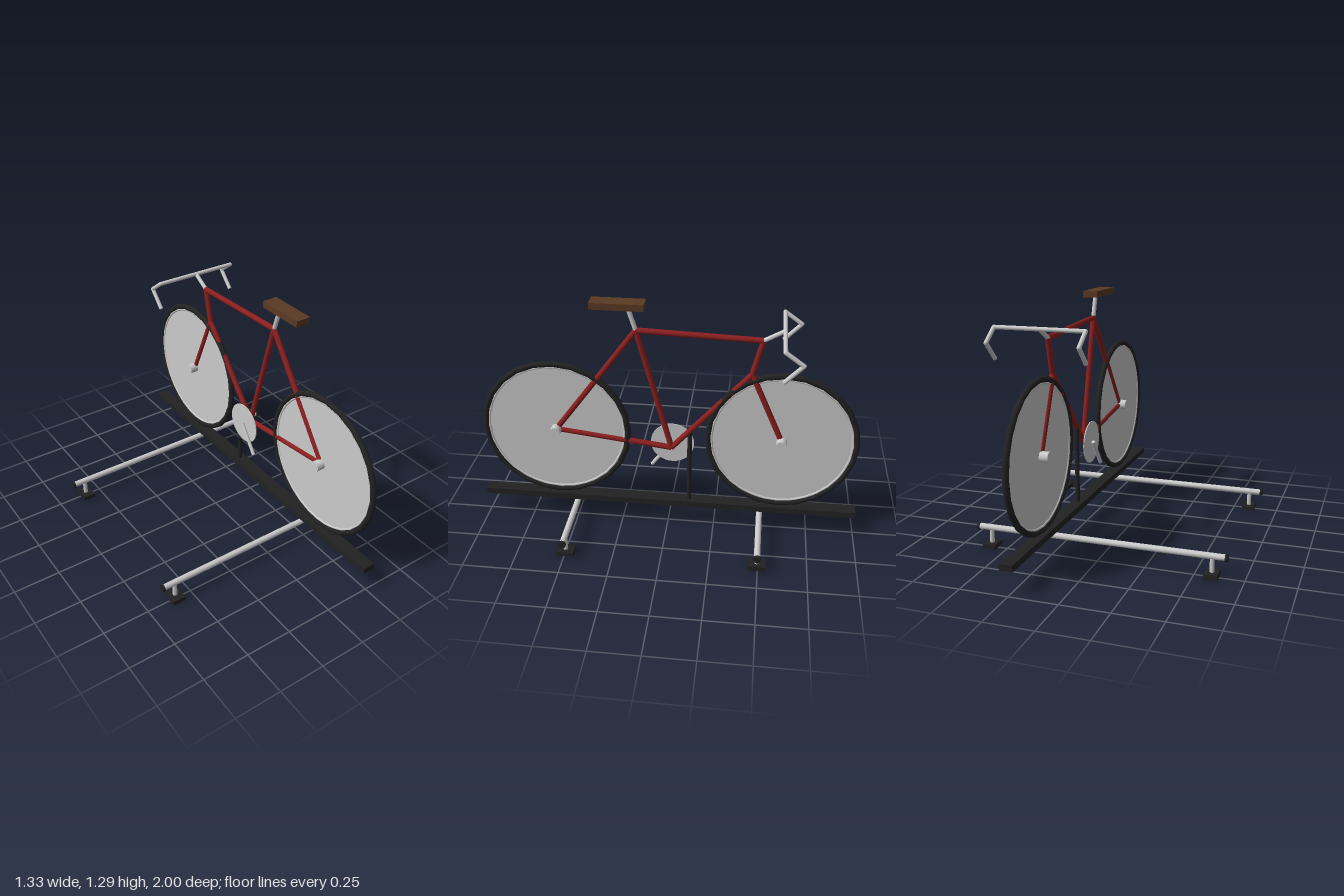
import * as THREE from 'three';

const mat = (color) => new THREE.MeshStandardMaterial({ color });
const steel = mat(0xcccccc);
const black = mat(0x222222);
const red = mat(0x8b1f1f);
const brown = mat(0x5a3a24);

const BX = 0.256; // centre plane of the bicycle and its rail
const v = (x, y, z) => new THREE.Vector3(x, y, z);

export function createModel() {
  const model = new THREE.Group();
  model.name = 'bicycleOnStand';

  const add = (name, geometry, material, parent = model) => {
    const mesh = new THREE.Mesh(geometry, material);
    mesh.name = name;
    parent.add(mesh);
    return mesh;
  };
  const box = (name, w, h, d, pos, material, parent) =>
    add(name, new THREE.BoxGeometry(w, h, d), material, parent).position.copy(pos);

  // Straight round bar between two points
  const bar = (name, a, b, r, material, parent, sides = 12) => {
    const dir = b.clone().sub(a);
    const mesh = add(name, new THREE.CylinderGeometry(r, r, dir.length(), sides), material, parent);
    mesh.position.copy(a).add(b).multiplyScalar(0.5);
    mesh.quaternion.setFromUnitVectors(v(0, 1, 0), dir.normalize());
    return mesh;
  };
  const group = (name) => {
    const g = new THREE.Group();
    g.name = name;
    model.add(g);
    return g;
  };

  // Stand: long rail, two cross bars with capped ends and feet, and a prop
  const stand = group('stand');
  box('rail', 0.068, 0.034, 2, v(BX, 0.14, 0), black, stand);
  for (const z of [-0.495, 0.495]) {
    bar('crossBar', v(-0.655, 0.106, z), v(0.655, 0.106, z), 0.016, steel, stand, 16);
    for (const s of [-1, 1]) {
      bar('endCap', v(s * 0.652, 0.106, z), v(s * 0.665, 0.106, z), 0.02, black, stand, 16);
      bar('footPost', v(s * 0.588, 0.02, z), v(s * 0.588, 0.1, z), 0.012, steel, stand);
      box('foot', 0.068, 0.024, 0.09, v(s * 0.588, 0.012, z), black, stand);
    }
  }
  bar('frameProp', v(BX, 0.15, -0.115), v(BX, 0.577, -0.115), 0.012, black, stand);

  // Wheels: tyre, rim, thin spoke disc and hub
  for (const [name, z] of [['rearWheel', 0.588], ['frontWheel', -0.588]]) {
    const wheel = group(name);
    wheel.position.set(BX, 0.55, z);
    wheel.rotation.y = Math.PI / 2;
    add('tyre', new THREE.TorusGeometry(0.38, 0.016, 10, 24), black, wheel);
    add('rim', new THREE.TorusGeometry(0.362, 0.008, 8, 32), steel, wheel);
    add('spokeDisc', new THREE.CylinderGeometry(0.36, 0.36, 0.004, 32), steel, wheel).rotation.x = Math.PI / 2;
    add('hub', new THREE.CylinderGeometry(0.028, 0.028, 0.096, 16), steel, wheel).rotation.x = Math.PI / 2;
  }

  // Frame tubes between the main joints
  const joint = {
    rearHub: v(BX, 0.55, 0.588),
    crank: v(BX, 0.476, -0.02),
    seat: v(BX, 1.137, 0.155),
    headTop: v(BX, 1.115, -0.468),
    headLow: v(BX, 0.93, -0.422),
    frontHub: v(BX, 0.55, -0.588),
  };
  const frame = group('frame');
  for (const [name, a, b] of [
    ['chainStay', 'rearHub', 'crank'],
    ['seatStay', 'rearHub', 'seat'],
    ['seatTube', 'crank', 'seat'],
    ['topTube', 'seat', 'headTop'],
    ['downTube', 'crank', 'headLow'],
    ['headTube', 'headTop', 'headLow'],
    ['fork', 'headLow', 'frontHub'],
  ]) bar(name, joint[a], joint[b], 0.015, red, frame);

  // Saddle and post
  bar('seatPost', joint.seat, v(BX, 1.243, 0.188), 0.012, steel);
  box('saddle', 0.083, 0.034, 0.268, v(BX, 1.27, 0.242), brown);

  // Drop handlebar
  const handlebar = group('handlebar');
  bar('stem', joint.headTop, v(BX, 1.171, -0.568), 0.011, steel, handlebar);
  bar('gripBar', v(BX - 0.236, 1.171, -0.568), v(BX + 0.236, 1.171, -0.568), 0.011, steel, handlebar);
  for (const s of [-1, 1]) {
    const x = BX + s * 0.236;
    const points = [v(x, 1.171, -0.568), v(x, 1.107, -0.656), v(x, 1.018, -0.57)];
    bar('dropUpper', points[0], points[1], 0.011, steel, handlebar);
    bar('dropLower', points[1], points[2], 0.011, steel, handlebar);
    for (const p of points.slice(0, 2))
      add('dropBend', new THREE.SphereGeometry(0.011, 12, 8), steel, handlebar).position.copy(p);
  }

  // Chainring and crank arm
  bar('chainring', v(0.207, 0.476, -0.02), v(0.212, 0.476, -0.02), 0.115, steel, model, 32);
  bar('crankArm', v(0.198, 0.476, -0.02), v(0.198, 0.326, 0.092), 0.01, steel);

  return model;
}
